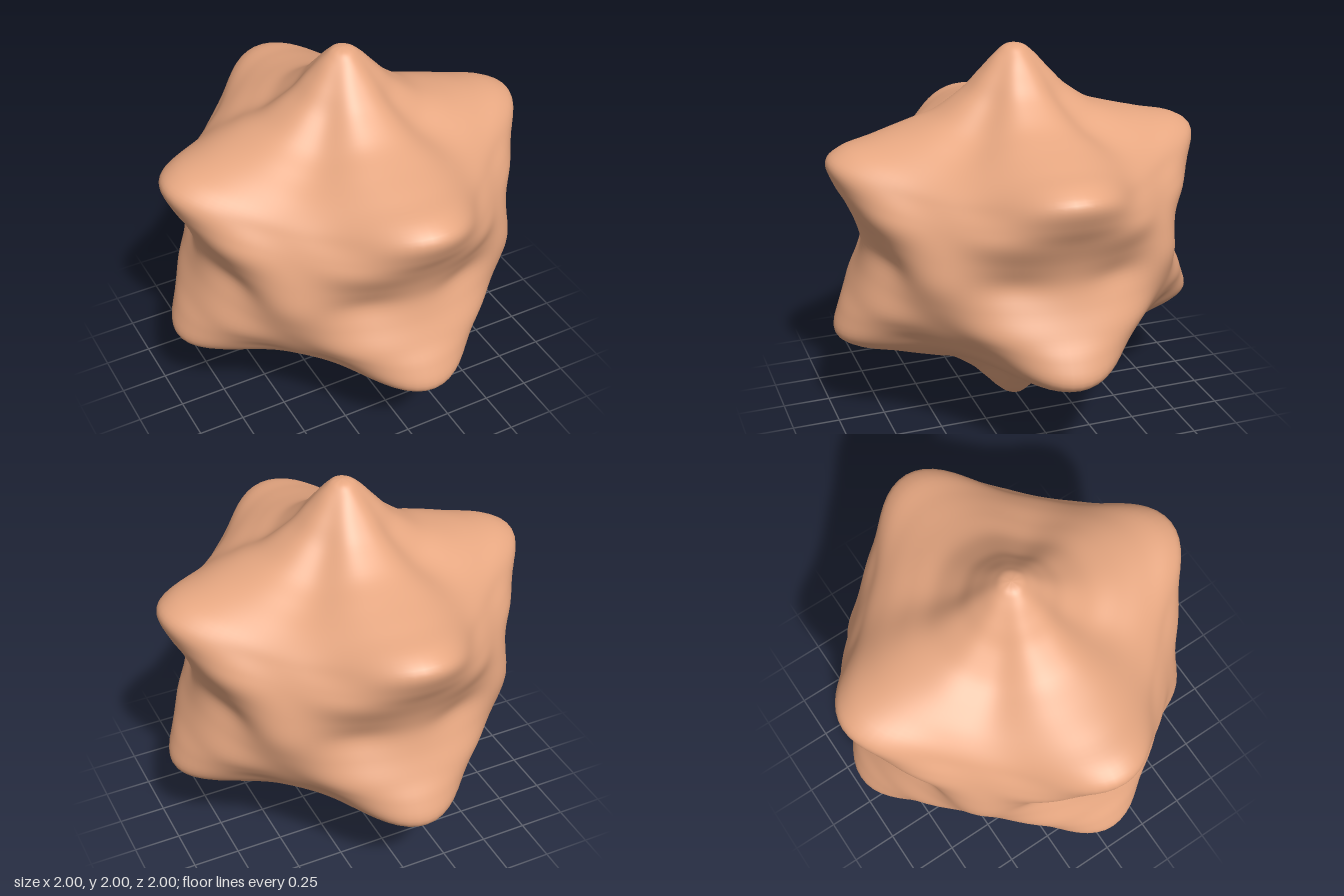
import * as THREE from 'three';
import { mergeVertices } from 'three/addons/utils/BufferGeometryUtils.js';

// Radius by elevation (degrees), measured along three meridians:
// through the side spikes, halfway, and through the corners between them.
const ELEVATION = [0, 8, 15, 20, 25, 30, 37, 47, 58, 70, 78, 84, 87, 90];
const SPIKE = [0.829, 0.862, 0.937, 1.025, 1.1, 1.06, 0.943, 0.838, 0.786, 0.811, 0.878, 0.955, 0.99, 1];
const HALFWAY = [0.81, 0.855, 0.92, 0.933, 0.928, 0.912, 0.865, 0.805, 0.768, 0.803, 0.875, 0.952, 0.99, 1];
const CORNER = [0.89, 0.876, 0.863, 0.855, 0.845, 0.833, 0.8, 0.75, 0.728, 0.775, 0.862, 0.948, 0.989, 1];

// Smooth meridian from the bottom pole to the top pole, mirrored at the equator
function meridian(radii) {
  const upper = ELEVATION.map((e, i) => new THREE.Vector2(THREE.MathUtils.degToRad(e), radii[i]));
  const lower = upper.slice(1).reverse().map((p) => new THREE.Vector2(-p.x, p.y));
  return new THREE.SplineCurve([...lower, ...upper]);
}

function spikedBody() {
  const across = 128, rows = 130;
  const geometry = new THREE.SphereGeometry(1, across, rows);
  const curves = [SPIKE, HALFWAY, CORNER].map(meridian);
  const pos = geometry.attributes.position;

  for (let row = 0; row <= rows; row++) {
    const [spike, half, corner] = curves.map((c) => c.getPoint(1 - row / rows));
    // Four-fold waves around the upright axis that pass through all three meridians
    const mean = (spike.y + corner.y) / 2;
    const wave4 = (spike.y - corner.y) / 2;
    const wave8 = (mean - half.y) / 2;
    for (let col = 0; col <= across; col++) {
      const turn = (col / across) * Math.PI * 2;
      const r = mean - wave8 + wave4 * Math.cos(4 * turn) + wave8 * Math.cos(8 * turn);
      const flat = r * Math.cos(spike.x);
      pos.setXYZ(row * (across + 1) + col,
        -flat * Math.cos(turn), r * Math.sin(spike.x), flat * Math.sin(turn));
    }
  }

  // Weld the seam and poles so the shading stays smooth
  geometry.deleteAttribute('uv');
  geometry.deleteAttribute('normal');
  const welded = mergeVertices(geometry, 1e-5);
  welded.computeVertexNormals();
  return welded;
}

export function createModel() {
  const group = new THREE.Group();
  group.name = 'spikedBlob';
  const body = new THREE.Mesh(spikedBody(), new THREE.MeshStandardMaterial({ color: 0xe8a882 }));
  body.name = 'spikedBody';
  body.position.y = 1;
  group.add(body);
  return group;
}
